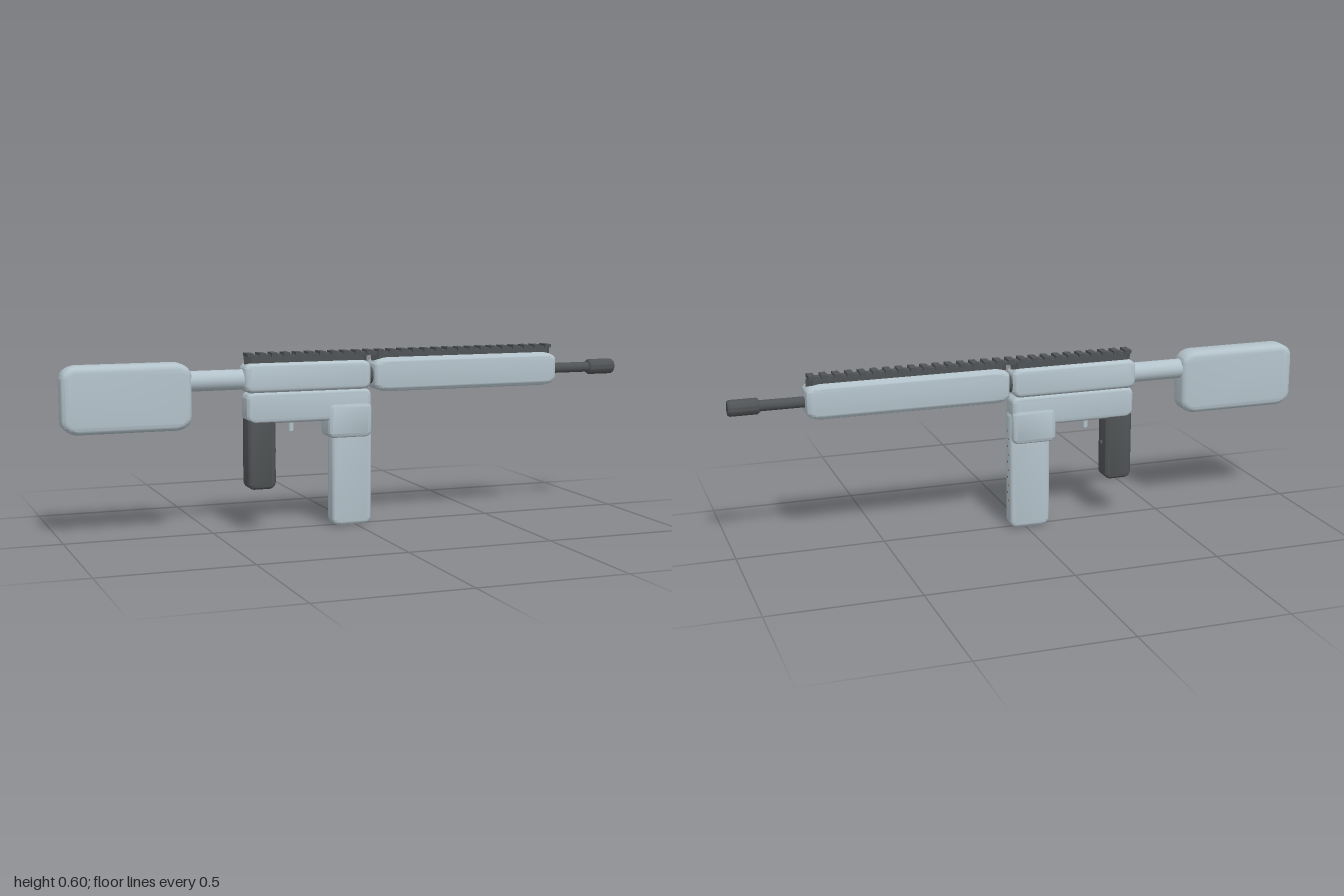
import * as THREE from 'three';
import { toCreasedNormals } from 'three/addons/utils/BufferGeometryUtils.js';

export function createModel() {
  const model = new THREE.Group();
  const paleGrey = new THREE.MeshStandardMaterial({ color: 0xb3c2ca });
  paleGrey.name = 'paleGrey';
  const charcoal = new THREE.MeshStandardMaterial({ color: 0x505355 });
  charcoal.name = 'charcoal';
  const brass = new THREE.MeshStandardMaterial({ color: 0x8a6a48 });
  brass.name = 'brass';

  function add(name, geometry, material, x = 0, y = 0, z = 0, parent = model) {
    const mesh = new THREE.Mesh(geometry, material);
    mesh.name = name;
    mesh.position.set(x, y, z);
    parent.add(mesh);
    return mesh;
  }

  // Pillow-edged slab: side outline with elliptical corners, bevelled on both faces
  function slab(name, material, [x0, x1], [y0, y1], halfZ, rx, ry, bevel) {
    const s = new THREE.Shape();
    s.moveTo(x0 + rx, y0);
    s.lineTo(x1 - rx, y0);
    s.absellipse(x1 - rx, y0 + ry, rx, ry, -Math.PI / 2, 0);
    s.lineTo(x1, y1 - ry);
    s.absellipse(x1 - rx, y1 - ry, rx, ry, 0, Math.PI / 2);
    s.lineTo(x0 + rx, y1);
    s.absellipse(x0 + rx, y1 - ry, rx, ry, Math.PI / 2, Math.PI);
    s.lineTo(x0, y0 + ry);
    s.absellipse(x0 + rx, y0 + ry, rx, ry, Math.PI, Math.PI * 1.5);
    const depth = 2 * (halfZ - bevel);
    const g = new THREE.ExtrudeGeometry(s, {
      depth, curveSegments: 8, bevelEnabled: true, bevelSegments: 5,
      bevelSize: bevel, bevelThickness: bevel, bevelOffset: -bevel,
    });
    g.translate(0, 0, -depth / 2);
    return add(name, toCreasedNormals(g, 0.7), material);
  }

  // Cylinder lying along x
  function rod(name, material, x0, x1, y, radius) {
    const g = new THREE.CylinderGeometry(radius, radius, x1 - x0, 32);
    g.rotateZ(-Math.PI / 2);
    return add(name, g, material, (x0 + x1) / 2, y, 0);
  }

  // Main body
  slab('stock', paleGrey, [-1, -0.573], [0.355, 0.577], 0.043, 0.055, 0.045, 0.022);
  rod('stockTube', paleGrey, -0.6, -0.37, 0.513, 0.034);
  slab('upperReceiver', paleGrey, [-0.396, 0.05], [0.467, 0.567], 0.043, 0.03, 0.025, 0.016);
  slab('lowerReceiver', paleGrey, [-0.388, 0.052], [0.365, 0.472], 0.041, 0.03, 0.025, 0.014);
  slab('magazineWell', paleGrey, [-0.104, 0.053], [0.305, 0.425], 0.044, 0.022, 0.022, 0.014);
  slab('magazine', paleGrey, [-0.086, 0.057], [0, 0.42], 0.028, 0.028, 0.028, 0.012);
  slab('handguard', paleGrey, [0.062, 0.752], [0.457, 0.573], 0.047, 0.055, 0.026, 0.016);
  slab('grip', charcoal, [-0.386, -0.288], [0.143, 0.4], 0.038, 0.024, 0.024, 0.014);

  // Link between receiver and handguard
  rod('barrelCollar', charcoal, 0.03, 0.09, 0.513, 0.03);

  // Barrel and muzzle with softened rims
  rod('barrel', charcoal, 0.72, 0.92, 0.512, 0.018);
  const muzzleProfile = [
    [0, 0], [0.023, 0], [0.027, 0.006], [0.027, 0.093], [0.023, 0.1], [0, 0.1],
  ].map(([r, h]) => new THREE.Vector2(r, h));
  const muzzle = new THREE.LatheGeometry(muzzleProfile, 32);
  muzzle.rotateZ(-Math.PI / 2);
  add('muzzle', toCreasedNormals(muzzle, 0.5), charcoal, 0.9, 0.512, 0);

  // Trigger and grip button
  add('trigger', new THREE.CylinderGeometry(0.009, 0.009, 0.045, 16), paleGrey, -0.225, 0.356, 0);
  const button = new THREE.CylinderGeometry(0.009, 0.009, 0.012, 16);
  button.rotateZ(-Math.PI / 2);
  add('gripButton', button, charcoal, -0.287, 0.27, 0);

  // Top rail: two pointed bases, a narrow neck and a row of teeth
  const rail = new THREE.Group();
  rail.name = 'topRail';
  model.add(rail);
  function railBase(x0, x1) {
    const s = new THREE.Shape([
      [x0, 0], [x0 + 0.02, -0.024], [x1 - 0.02, -0.024],
      [x1, 0], [x1 - 0.02, 0.024], [x0 + 0.02, 0.024],
    ].map(([x, z]) => new THREE.Vector2(x, z)));
    const g = new THREE.ExtrudeGeometry(s, { depth: 0.026, bevelEnabled: false });
    g.rotateX(-Math.PI / 2);
    add('railBase', g, charcoal, 0, 0.562, 0, rail);
  }
  railBase(-0.388, 0.048);
  railBase(0.064, 0.745);
  add('railNeck', new THREE.BoxGeometry(1.1, 0.012, 0.034), charcoal, 0.178, 0.587, 0, rail);
  const toothCount = 27;
  const toothGeometry = new THREE.BoxGeometry(0.022, 0.012, 0.05);
  for (let i = 0; i < toothCount; i++) {
    add('railTooth', toothGeometry, charcoal, -0.372 + (i * 1.1) / (toothCount - 1), 0.594, 0, rail);
  }

  // Staggered witness dots down the front edge of the magazine
  const dot = new THREE.CylinderGeometry(0.003, 0.003, 0.004, 12);
  dot.rotateZ(-Math.PI / 2);
  for (let i = 0; i < 10; i++) {
    add('magazineDot', dot, i % 2 ? brass : charcoal, 0.0565, 0.345 - i * 0.0276, i % 2 ? -0.006 : 0.006);
  }

  return model;
}
